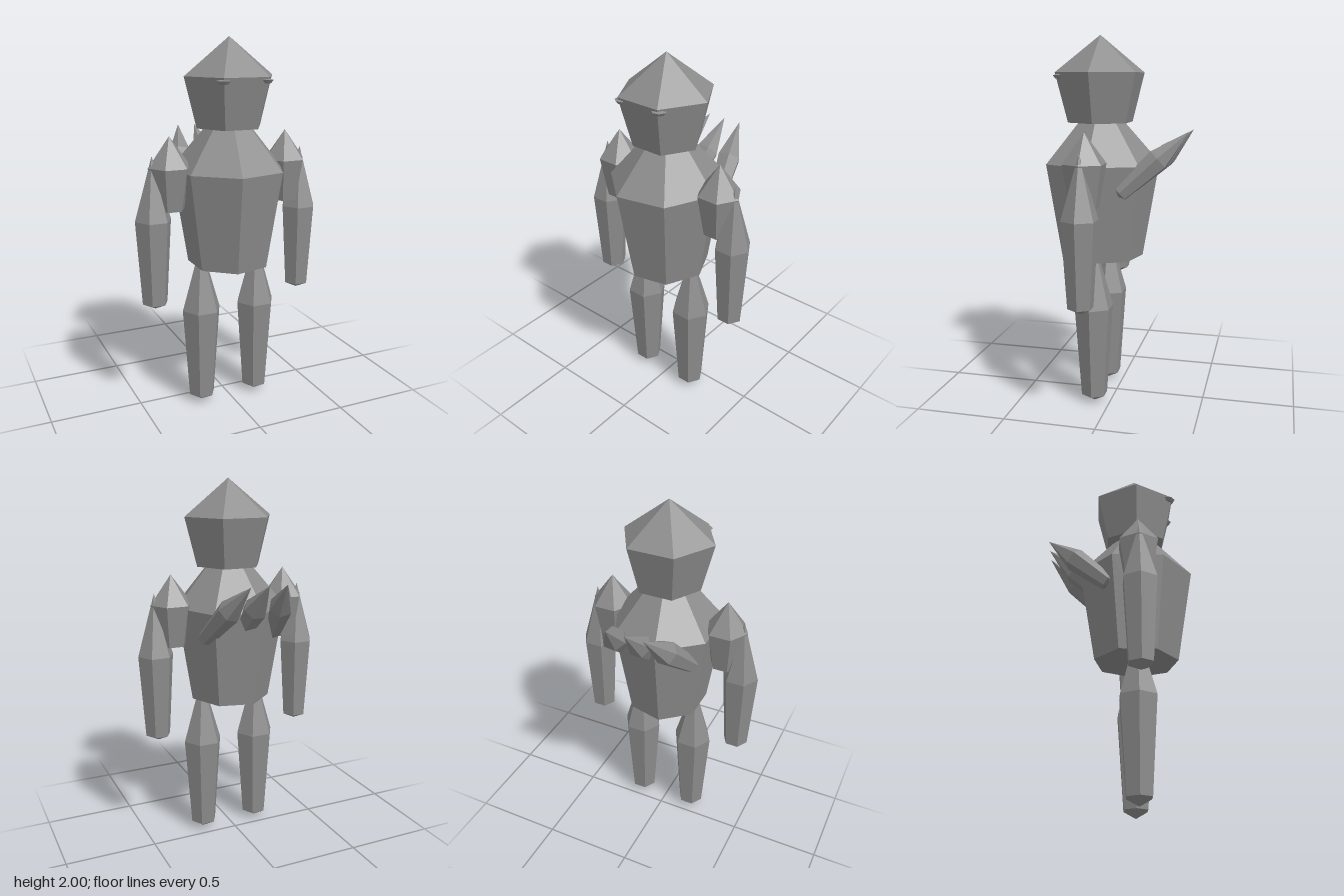
import * as THREE from 'three';

const stone = new THREE.MeshStandardMaterial({ color: 0x8c8c8c });
stone.name = 'stone grey';

// Faceted, closed spindle: profile is [radius, y] from bottom to top, one corner on +x
function spindle(name, profile, sides = 6) {
  const points = profile.map(([r, y]) => new THREE.Vector2(r, y));
  const geometry = new THREE.LatheGeometry(points, sides, Math.PI / 2).toNonIndexed();
  geometry.computeVertexNormals();
  const mesh = new THREE.Mesh(geometry, stone);
  mesh.name = name;
  return mesh;
}

export function createModel() {
  const group = new THREE.Group();
  group.name = 'golem';
  const add = (mesh, x, y, z) => {
    mesh.position.set(x, y, z);
    group.add(mesh);
    return mesh;
  };
  const cz = 0.09; // body axis

  // Seven-sided torso, slightly deeper than wide, tapering up into the head
  const torso = add(spindle('torso', [[0, 0.77], [0.725, 0.803], [1, 1.325], [0, 1.69]], 7), 0, 0, cz);
  torso.scale.set(0.304, 1, 0.322);

  // Head with pointed crown
  add(spindle('head', [[0, 1.538], [0.182, 1.541], [0.25, 1.805], [0, 2]]), 0, 0, cz);

  for (const [side, label] of [[1, 'left'], [-1, 'right']]) {
    add(spindle(label + 'Leg', [[0, 0], [0.073, 0.042], [0.109, 0.55], [0, 0.925]]), side * 0.164, 0, cz);
    add(spindle(label + 'Arm', [[0, 0.592], [0.069, 0.625], [0.098, 1.08], [0, 1.415]]), side * 0.429, 0, cz);
    add(spindle(label + 'Shoulder', [[0, 1.11], [0.078, 1.127], [0.117, 1.352], [0, 1.51]]), side * 0.334, 0, cz);
    const eye = spindle(label + 'Eye', [[0, -0.016], [0.026, -0.012], [0.039, 0.004], [0, 0.016]], 7);
    add(eye, side * 0.116, 1.786, 0.282);
  }

  // Three back spikes, roots spread apart and tips leaning together
  const up = new THREE.Vector3(0, 1, 0);
  for (const [i, label] of [[-1, 'right'], [0, 'middle'], [1, 'left']]) {
    const root = new THREE.Vector3(i * 0.205, 1.17, -0.05);
    const tip = new THREE.Vector3(i * 0.1, 1.502, -0.405);
    const axis = tip.clone().sub(root);
    const h = axis.length();
    const spike = spindle(label + 'BackSpike', [[0, 0], [0.045, 0.02], [0.065, 0.57 * h], [0, h]]);
    spike.quaternion.setFromUnitVectors(up, axis.normalize());
    add(spike, root.x, root.y, root.z);
  }
  return group;
}
